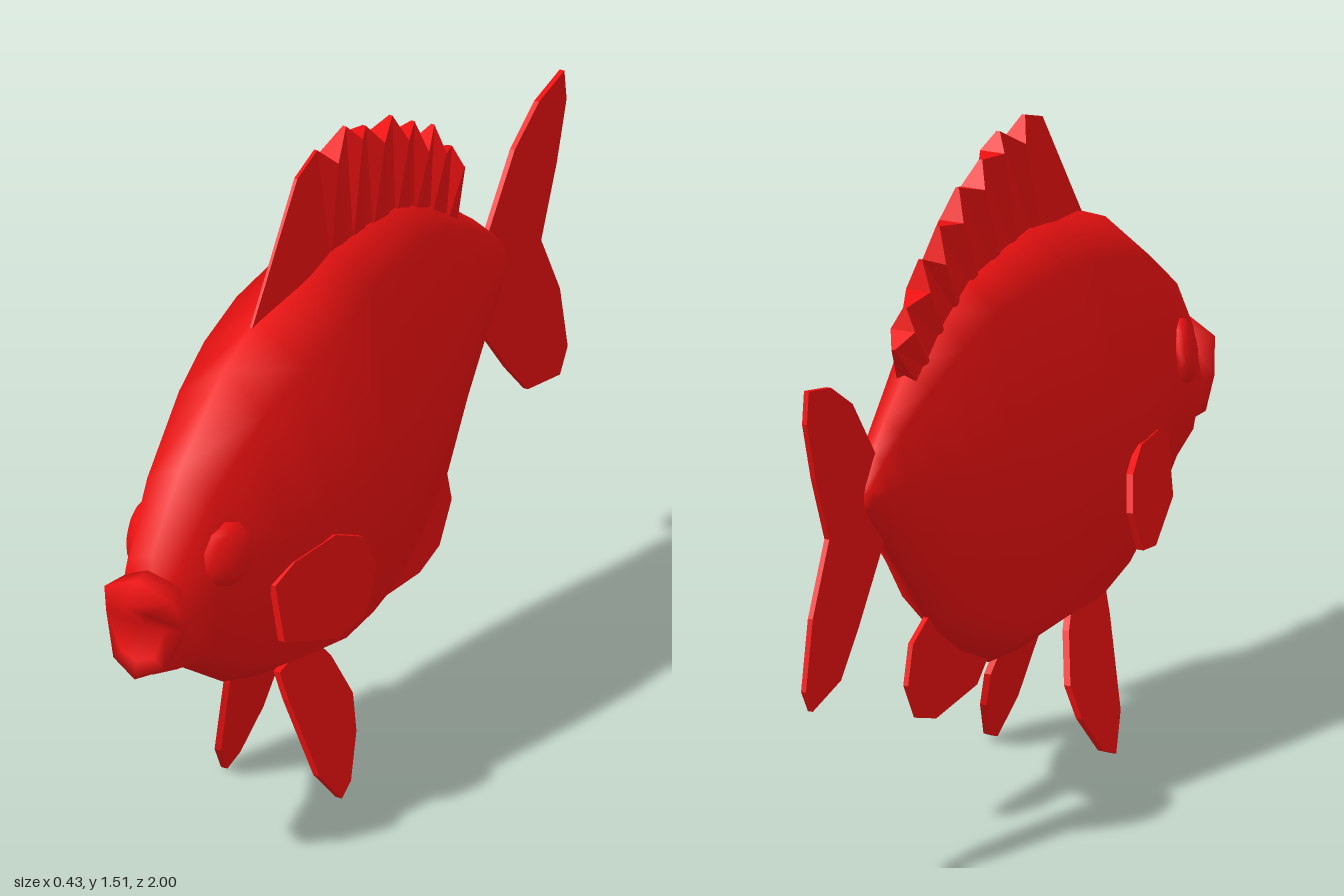
import * as THREE from 'three';

const red = new THREE.MeshStandardMaterial({ color: 0xee1111 });
const redFlat = new THREE.MeshStandardMaterial({ color: 0xee1111, flatShading: true });

// Skin over rings of [x, y, z], ordered front to back, each counter-clockwise seen from +z.
function loft(rings, frontCentre, backCentre) {
  const n = rings[0].length;
  const pos = rings.flat(2);
  const idx = [];
  for (let i = 0; i < rings.length - 1; i++) {
    for (let j = 0; j < n; j++) {
      const a = i * n + j, b = i * n + (j + 1) % n;
      idx.push(a, a + n, b, b, a + n, b + n);
    }
  }
  const front = rings.length * n, last = front - n;
  pos.push(...frontCentre, ...backCentre);
  for (let j = 0; j < n; j++) {
    const k = (j + 1) % n;
    idx.push(front, j, k, front + 1, last + k, last + j);
  }
  const geo = new THREE.BufferGeometry();
  geo.setAttribute('position', new THREE.Float32BufferAttribute(pos, 3));
  geo.setIndex(idx);
  geo.computeVertexNormals();
  return geo;
}

// Thin fin from a [z, y] outline; sideways(z, y) gives the x of its middle plane.
function finPlate(outline, thickness, sideways = () => 0) {
  const shape = new THREE.Shape(outline.map(([z, y]) => new THREE.Vector2(z, y)));
  const geo = new THREE.ExtrudeGeometry(shape, { depth: thickness, bevelEnabled: false });
  const p = geo.attributes.position;
  for (let i = 0; i < p.count; i++) {
    const z = p.getX(i), y = p.getY(i);
    p.setXYZ(i, sideways(z, y) + thickness / 2 - p.getZ(i), y, z);
  }
  geo.computeVertexNormals();
  return geo;
}

export function createModel() {
  const fish = new THREE.Group();
  fish.name = 'fish';
  const add = (name, geo, mat = red) => {
    const mesh = new THREE.Mesh(geo, mat);
    mesh.name = name;
    fish.add(mesh);
    return mesh;
  };
  const addPair = (name, geo, mat) => {
    add(name + 'Left', geo, mat);
    add(name + 'Right', geo, mat).scale.x = -1;
  };

  // Body: eight-sided sections [z, bottom, top, half width]
  const sections = [
    [0.87, 0.54, 0.84, 0.085], [0.74, 0.5, 1.0, 0.115], [0.55, 0.375, 1.15, 0.15],
    [0.4, 0.32, 1.21, 0.178], [0.24, 0.28, 1.255, 0.188], [0.1, 0.275, 1.28, 0.175],
    [-0.05, 0.29, 1.27, 0.155], [-0.2, 0.355, 1.25, 0.13], [-0.33, 0.44, 1.19, 0.105],
    [-0.46, 0.585, 1.1, 0.075], [-0.58, 0.71, 1.01, 0.052], [-0.65, 0.78, 0.95, 0.04],
    [-0.695, 0.83, 0.89, 0.025],
  ];
  const bodyRings = sections.map(([z, lo, hi, w]) => {
    const mid = (lo + hi) / 2, h = (hi - lo) / 2;
    return [[1, 0], [0.74, 0.8], [0, 1], [-0.74, 0.8], [-1, 0], [-0.74, -0.8], [0, -1], [0.74, -0.8]]
      .map(([x, y]) => [x * w, mid + y * h, z]);
  });
  add('body', loft(bodyRings, [0, 0.69, 0.87], [0, 0.86, -0.705]));

  // Lips: right-hand profiles top to bottom, mirrored into rings around a sunken mouth
  const mirrorRing = (half) => {
    const up = half.slice().reverse();
    return [...up, ...half.slice(1, -1).map(([x, y, z]) => [-x, y, z])];
  };
  const lipRings = [
    [[0, 0.765, 1.0], [0.05, 0.75, 0.98], [0.062, 0.69, 0.925], [0.04, 0.62, 0.935], [0, 0.61, 0.945]],
    [[0, 0.812, 0.95], [0.085, 0.77, 0.935], [0.1, 0.69, 0.9], [0.065, 0.595, 0.93], [0, 0.565, 0.95]],
    [[0, 0.81, 0.89], [0.07, 0.77, 0.86], [0.08, 0.69, 0.85], [0.055, 0.59, 0.86], [0, 0.555, 0.87]],
  ].map(mirrorRing);
  add('lips', loft(lipRings, [0, 0.685, 0.905], [0, 0.69, 0.85]));

  // Eyes: flattened domes turned slightly forwards
  const eye = new THREE.SphereGeometry(0.076, 10, 8);
  eye.rotateZ(Math.PI / 2).scale(0.4, 1, 1);
  eye.rotateZ(0.15).rotateY(-0.35).translate(0.108, 0.803, 0.725);
  addPair('eye', eye);

  // Dorsal fin: pleated, thin at the ray tips and wide in the notches [z, y, half width]
  const rays = [
    [0.43, 1.19, 0.003], [0.22, 1.48, 0.004], [0.13, 1.51, 0.004], [0.08, 1.46, 0.03],
    [0, 1.51, 0.004], [-0.03, 1.47, 0.03], [-0.09, 1.47, 0.004], [-0.13, 1.415, 0.03],
    [-0.21, 1.44, 0.004], [-0.24, 1.37, 0.03], [-0.31, 1.38, 0.004], [-0.33, 1.3, 0.03],
    [-0.4, 1.33, 0.004], [-0.41, 1.26, 0.03], [-0.48, 1.24, 0.004], [-0.49, 1.19, 0.03],
    [-0.54, 1.16, 0.004],
  ];
  const dorsalRings = rays.map(([z, y, w], i) => {
    const bz = 0.43 - 0.88 * (0.43 - z) / 0.97;
    const by = 1.24 - 0.65 * (bz - 0.1) ** 2;
    const bw = i === 0 ? 0.003 : 0.03;
    return [[-bw, by, bz], [bw, by, bz], [w, y, z], [-w, y, z]];
  });
  add('dorsalFin', loft(dorsalRings, [0, 1.17, 0.43], [0, 1.1, -0.495]), redFlat);

  // Tail fin: forked plate
  add('tailFin', finPlate([
    [-0.62, 0.92], [-0.65, 0.96], [-0.76, 1.1], [-0.87, 1.17], [-0.985, 1.195], [-0.995, 1.12],
    [-0.95, 0.98], [-0.88, 0.82], [-0.965, 0.66], [-1, 0.5], [-0.965, 0.445],
    [-0.82, 0.475], [-0.73, 0.57], [-0.6, 0.73],
  ], 0.012), redFlat);

  // Anal fin
  add('analFin', finPlate([
    [-0.05, 0.32], [-0.12, 0.26], [-0.33, 0.243], [-0.42, 0.27], [-0.475, 0.36],
    [-0.45, 0.45], [-0.37, 0.49], [-0.3, 0.5],
  ], 0.012), redFlat);

  // Pectoral fins: lie along the flanks, flaring backwards and down
  addPair('pectoralFin', finPlate([
    [0.57, 0.66], [0.5, 0.69], [0.36, 0.7], [0.27, 0.66], [0.24, 0.58],
    [0.29, 0.48], [0.39, 0.46], [0.56, 0.52],
  ], 0.016, (z, y) => 0.145 + (0.57 - z) * 0.19 + (0.58 - y) * 0.11), redFlat);

  // Pelvic fins: splay outwards below the belly
  addPair('pelvicFin', finPlate([
    [0.41, 0.35], [0.4, 0.28], [0.35, 0.08], [0.285, 0], [0.235, 0.02],
    [0.17, 0.11], [0.15, 0.19], [0.2, 0.3], [0.26, 0.37],
  ], 0.016, (z, y) => 0.055 + (0.36 - y) * 0.25), redFlat);

  return fish;
}
